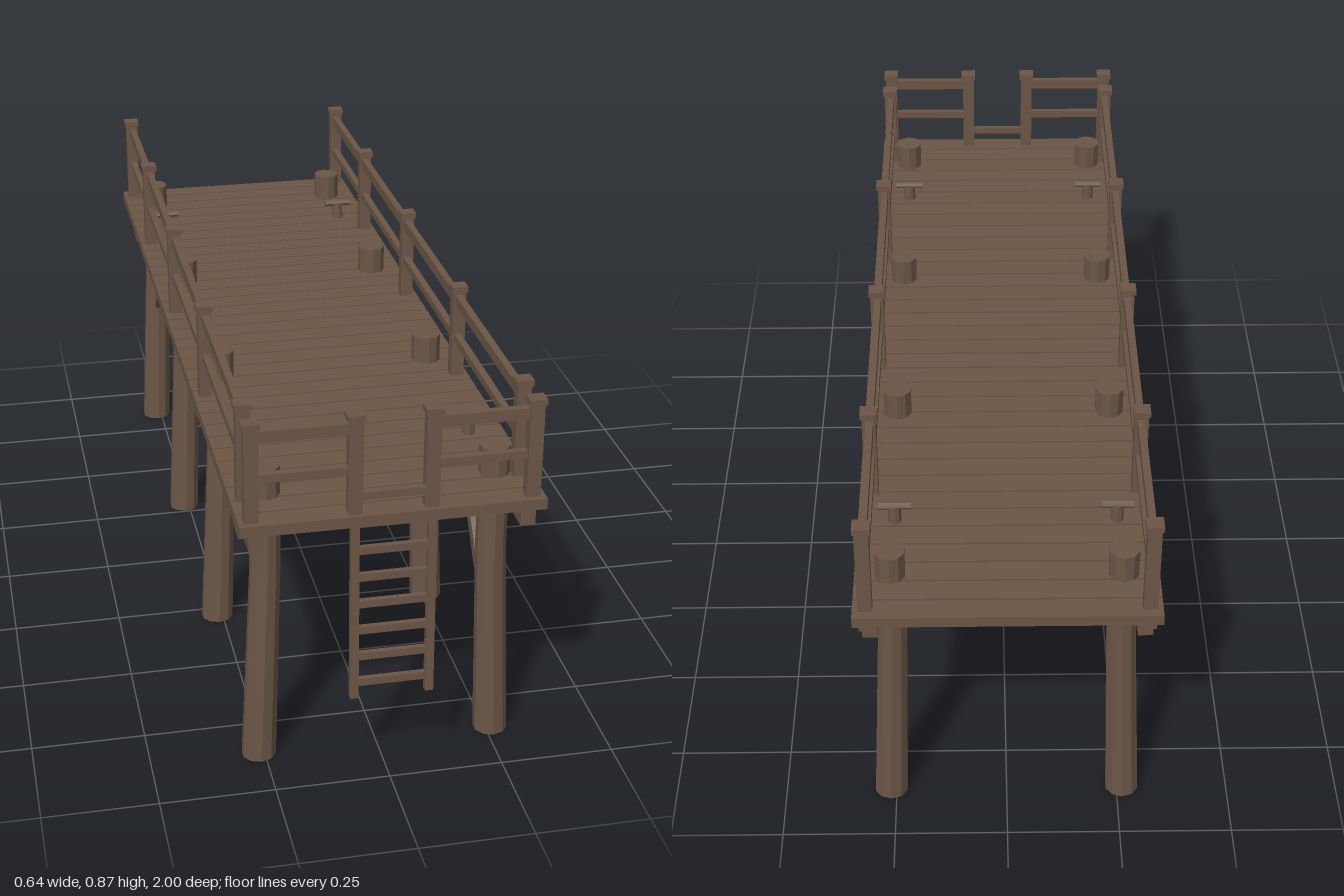
import * as THREE from 'three';

export function createModel() {
  const pier = new THREE.Group();
  pier.name = 'pier';
  const wood = new THREE.MeshStandardMaterial({ color: 0x6b5646, flatShading: true });
  wood.name = 'weathered wood';

  const add = (name, geometry, x, y, z) => {
    const mesh = new THREE.Mesh(geometry, wood);
    mesh.name = name;
    mesh.position.set(x, y, z);
    pier.add(mesh);
    return mesh;
  };
  const box = (name, w, h, d, x, y, z) => add(name, new THREE.BoxGeometry(w, h, d), x, y, z);

  // Deck planks
  const count = 34, pitch = 2 / count;
  for (let i = 0; i < count; i++) {
    box('deckPlank', 0.64, 0.025, pitch - 0.005, 0, 0.633, -1 + pitch * (i + 0.5));
  }

  // Pile: leaning below, upright from the bend to the top
  const pileGeometry = (side) => {
    const g = new THREE.CylinderGeometry(0.033, 0.033, 0.71, 10, 3);
    const p = g.attributes.position;
    const bend = 0.47;
    for (let i = 0; i < p.count; i++) {
      let y = p.getY(i) + 0.355;
      if (y > 0.4 && y < 0.6) y = bend;
      const t = Math.max(0, 1 - y / bend);
      p.setXYZ(i, p.getX(i) * (1 + 0.15 * t) + side * (0.245 + 0.017 * t), y, p.getZ(i) * (1 + 0.1 * t));
    }
    g.computeVertexNormals();
    return g;
  };

  // Diagonal brace in the y-z plane
  const brace = (x, y0, z0, y1, z1) => {
    const length = Math.hypot(y1 - y0, z1 - z0);
    const mesh = box('diagonalBrace', 0.03, length, 0.028, x, (y0 + y1) / 2, (z0 + z1) / 2);
    mesh.rotation.x = Math.atan2(z1 - z0, y1 - y0);
  };

  // Pile rows with cross beams and braces
  const rows = [[0.86, -1], [0.28, -1], [-0.29, -1], [-0.86, 1]];
  for (const [z, dir] of rows) {
    box('crossBeam', 0.61, 0.05, 0.05, 0, 0.581, z);
    for (const side of [-1, 1]) {
      add('pile', pileGeometry(side), 0, 0, z);
      brace(side * 0.243, 0.36, z + dir * 0.025, 0.59, z + dir * 0.2);
    }
  }

  // Railing post with a wider cap
  const railPost = (x, z, bottom) => {
    box('railPost', 0.03, 0.855 - bottom, 0.026, x, (0.855 + bottom) / 2, z);
    box('railPostCap', 0.037, 0.013, 0.034, x, 0.86, z);
  };
  const railHeights = [[0.834, 0.025], [0.741, 0.018]];

  for (const side of [-1, 1]) {
    // Long stringer under the deck edge
    box('stringer', 0.032, 0.038, 1.97, side * 0.284, 0.6, 0);

    // Side railing
    for (const z of [0.88, 0.375, -0.11, -0.585, -0.965]) railPost(side * 0.293, z, 0.592);
    for (const [y, h] of railHeights) box('sideRail', 0.016, h, 1.845, side * 0.291, y, -0.0425);

    // Front railing beside the ladder opening
    railPost(side * 0.293, 0.972, 0.635);
    railPost(side * 0.08, 0.972, 0.635);
    for (const [y, h] of railHeights) box('frontRail', 0.213, h, 0.016, side * 0.1865, y, 0.972);

    // Mooring cleats
    for (const z of [-0.685, 0.675]) {
      add('cleatStem', new THREE.CylinderGeometry(0.013, 0.015, 0.045, 8), side * 0.24, 0.665, z);
      const bar = add('cleatBar', new THREE.CylinderGeometry(0.009, 0.009, 0.07, 8), side * 0.24, 0.686, z);
      bar.rotation.z = Math.PI / 2;
    }

    // Ladder side rail, leaning slightly
    const rail = box('ladderRail', 0.018, 0.575, 0.016, side * 0.081, 0.4975, 0.985);
    rail.rotation.x = -0.025;
  }

  // Ladder rungs
  for (let i = 0; i < 8; i++) {
    const y = 0.247 + i * 0.0625;
    box('ladderRung', 0.15, 0.017, 0.012, 0, y, 0.985 - (y - 0.4975) * 0.025);
  }

  return pier;
}
